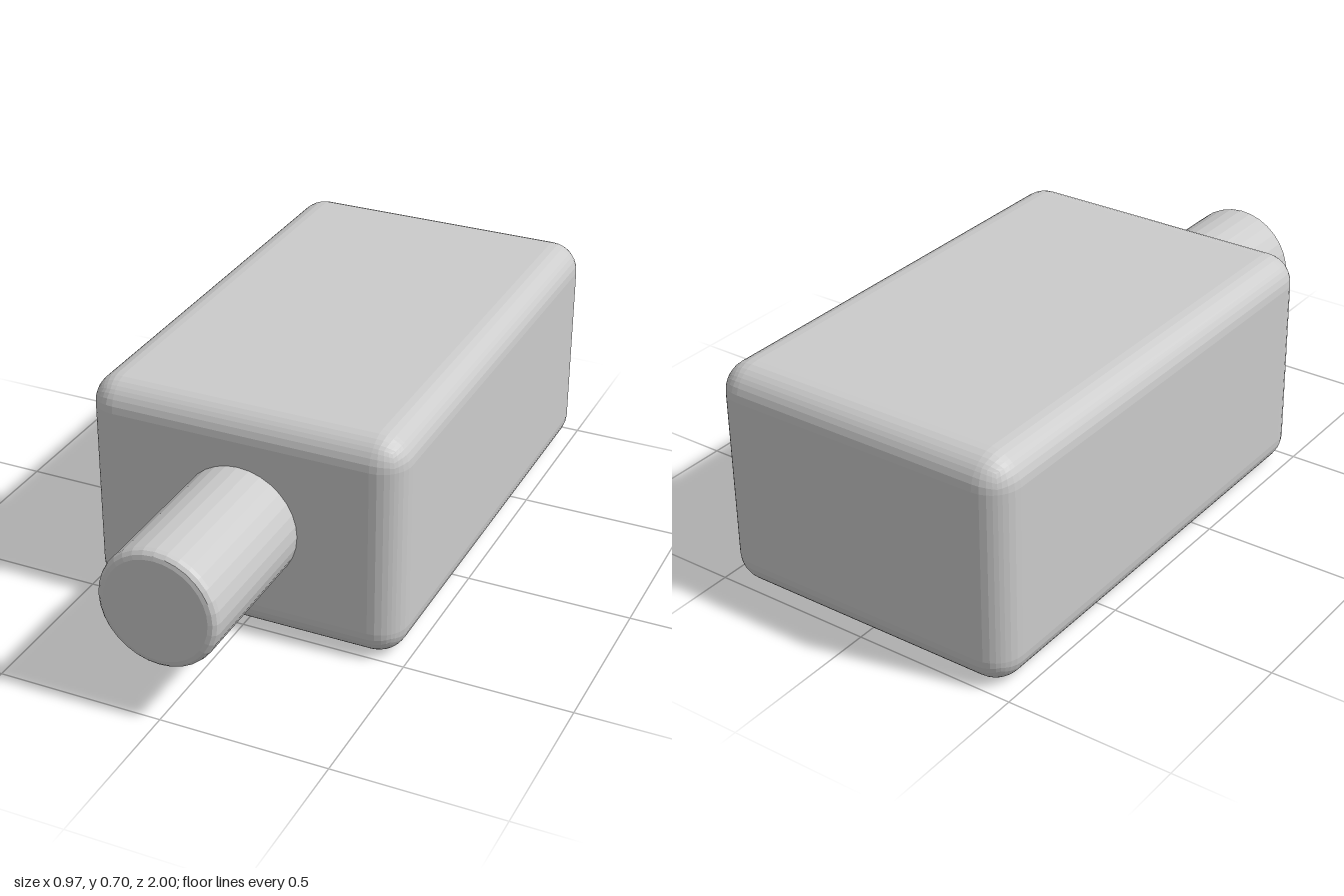
import * as THREE from 'three';
import { RoundedBoxGeometry } from 'three/addons/geometries/RoundedBoxGeometry.js';

const WIDTH = 0.966, HEIGHT = 0.697, BACK = -1, FRONT = 0.515;

export function createModel() {
  const group = new THREE.Group();
  group.name = 'boxWithBarrel';
  const material = new THREE.MeshStandardMaterial({ color: 0xcccccc, flatShading: true });

  // Rounded main housing
  const body = new THREE.Mesh(
    new RoundedBoxGeometry(WIDTH, HEIGHT, FRONT - BACK, 4, 0.09), material);
  body.name = 'body';
  body.position.set(0, HEIGHT / 2, (FRONT + BACK) / 2);
  group.add(body);

  // Barrel: half-profile (radius, z) with a rounded front rim, turned to face +z
  const radius = 0.18, bevel = 0.025, start = 0.45;
  const profile = [new THREE.Vector2(0, start), new THREE.Vector2(radius, start)];
  for (let i = 0; i <= 3; i++) {
    const a = (i / 3) * Math.PI / 2;
    profile.push(new THREE.Vector2(
      radius - bevel + bevel * Math.cos(a), 1 - bevel + bevel * Math.sin(a)));
  }
  profile.push(new THREE.Vector2(0, 1));
  const barrel = new THREE.Mesh(
    new THREE.LatheGeometry(profile, 32).rotateX(Math.PI / 2), material);
  barrel.name = 'barrel';
  barrel.position.y = 0.35;
  group.add(barrel);

  return group;
}
